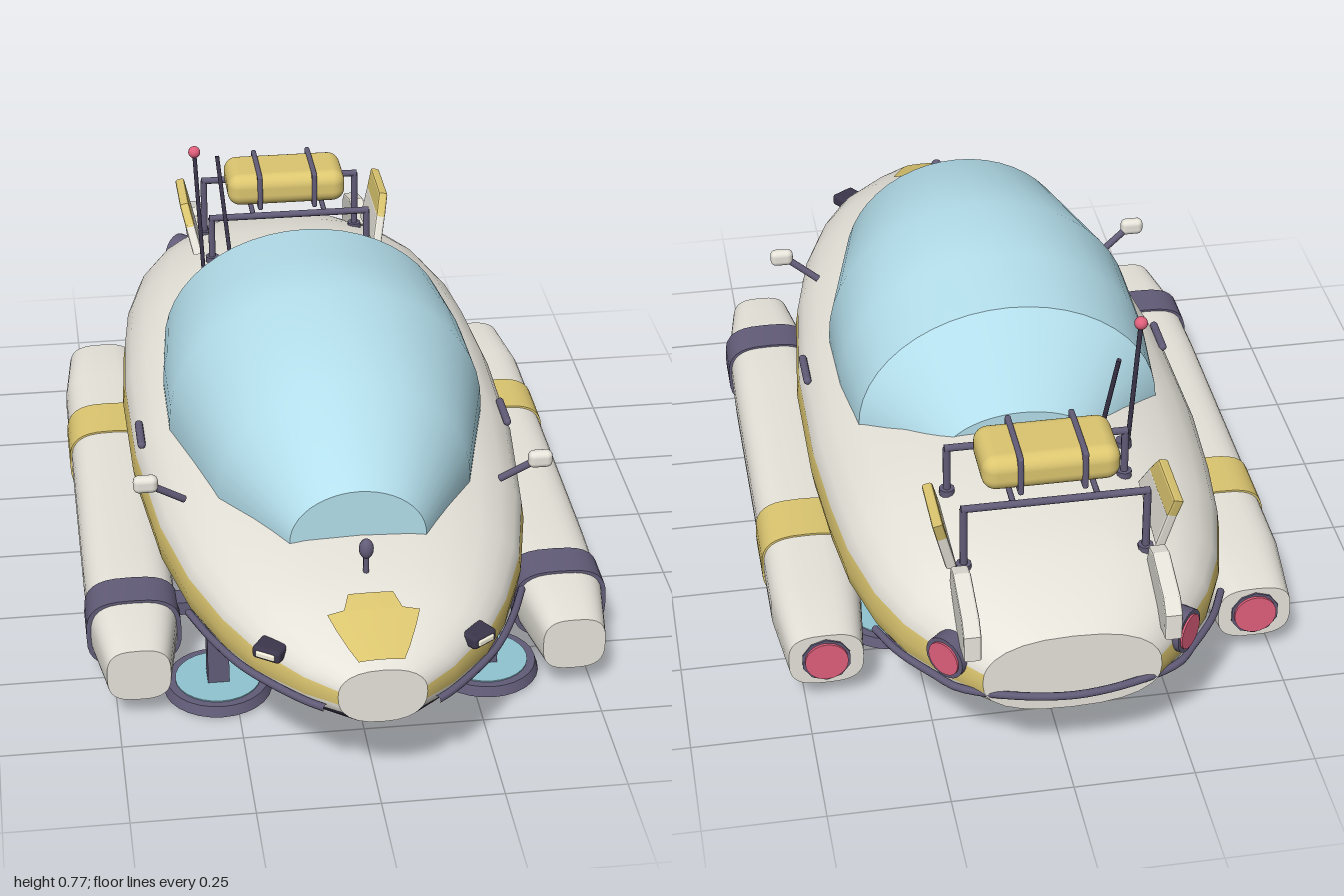
import * as THREE from 'three';
import { RoundedBoxGeometry } from 'three/addons/geometries/RoundedBoxGeometry.js';

const V = (x, y, z) => new THREE.Vector3(x, y, z);
const mat = (color, side = THREE.FrontSide) => new THREE.MeshStandardMaterial({ color, side });
const CREAM = mat(0xe6e3da), NAVY = mat(0x3c364c), TRIM = mat(0x625c78), YELLOW = mat(0xdcc670, THREE.DoubleSide);
const GLASS = mat(0xb4dfec, THREE.DoubleSide), RED = mat(0xe0607c), TEAL = mat(0x8fc4d2), LENS = mat(0xf4efdc);

// Hull stations: z, half width, bottom, top
const MID = 0.265, N = 2.4;
const STATIONS = [
  [1, 0.088, 0.2, 0.322], [0.95, 0.15, 0.185, 0.34], [0.85, 0.238, 0.165, 0.373], [0.75, 0.292, 0.148, 0.394],
  [0.6, 0.348, 0.13, 0.412], [0.4, 0.392, 0.115, 0.426], [0.1, 0.424, 0.11, 0.442], [-0.2, 0.427, 0.11, 0.456],
  [-0.4, 0.414, 0.115, 0.462], [-0.55, 0.397, 0.122, 0.456], [-0.7, 0.36, 0.135, 0.44], [-0.8, 0.315, 0.147, 0.42],
  [-0.9, 0.243, 0.165, 0.39], [-0.965, 0.18, 0.182, 0.362],
];
function station(z) {
  let i = 0;
  while (i < STATIONS.length - 2 && z < STATIONS[i + 1][0]) i++;
  const a = STATIONS[i], b = STATIONS[i + 1], t = (z - a[0]) / (b[0] - a[0]);
  return a.map((v, k) => v + (b[k] - v) * t);
}
const curve = (f) => Math.pow(Math.max(0, 1 - Math.pow(Math.min(1, Math.abs(f)), N)), 1 / N);
function hullY(x, z) { const [, w, , top] = station(z); return MID + (top - MID) * curve(x / w); }
function hullX(y, z) {
  const [, w, bot, top] = station(z);
  return w * curve((y - MID) / (y > MID ? top - MID : MID - bot));
}
const spow = (v, n) => Math.sign(v) * Math.pow(Math.abs(v), 2 / n);

// Skin over rings ordered front to back, each counter-clockwise seen from the front
function loft(rings, closed = true, keep = () => true) {
  const n = rings[0].length, index = [];
  for (let i = 0; i < rings.length - 1; i++)
    for (let j = 0; j < (closed ? n : n - 1); j++) {
      if (!keep(j)) continue;
      const k = (j + 1) % n, a = i * n + j, b = a + n, c = (i + 1) * n + k, d = i * n + k;
      index.push(a, b, d, b, c, d);
    }
  const g = new THREE.BufferGeometry().setFromPoints(rings.flat());
  g.setIndex(index);
  g.computeVertexNormals();
  return g;
}
function cap(ring, front) {
  const c = ring.reduce((s, p) => s.add(p), V(0, 0, 0)).divideScalar(ring.length);
  const index = [], n = ring.length;
  for (let j = 0; j < n; j++) index.push(0, ...(front ? [j + 1, (j + 1) % n + 1] : [(j + 1) % n + 1, j + 1]));
  const g = new THREE.BufferGeometry().setFromPoints([c, ...ring]);
  g.setIndex(index);
  g.computeVertexNormals();
  return g;
}

export function createModel() {
  const root = new THREE.Group();
  const add = (name, geo, material, parent = root, pos) => {
    const m = new THREE.Mesh(geo, material);
    m.name = name;
    if (pos) m.position.set(...pos);
    parent.add(m);
    return m;
  };
  const group = (name) => { const g = new THREE.Group(); g.name = name; root.add(g); return g; };
  const rod = (name, a, b, r, material = TRIM, parent = root) => {
    const d = b.clone().sub(a);
    const m = add(name, new THREE.CylinderGeometry(r, r, d.length(), 10), material, parent);
    m.position.copy(a).add(b).multiplyScalar(0.5);
    m.quaternion.setFromUnitVectors(V(0, 1, 0), d.normalize());
    return m;
  };
  const tube = (name, pts, r, parent = root) =>
    add(name, new THREE.TubeGeometry(new THREE.CatmullRomCurve3(pts), 40, r, 8), TRIM, parent);

  // Hull: one smooth skin split into coloured strips
  const hull = group('hull');
  const half = [-90, -75, -60, -45, -29, -20, -11.5, 0, 10.5, 20, 32, 45, 60, 75];
  const angles = [...half, ...half.map((a) => a + 180 - 2 * (a + 90) + 90 * 2).map((a, i) => 180 - (i ? half[half.length - i] : -90))];
  const rings = STATIONS.map(([z, w, bot, top]) => angles.map((deg) => {
    const a = THREE.MathUtils.degToRad(deg), s = Math.sin(a);
    return V(w * spow(Math.cos(a), N), MID + (s > 0 ? top - MID : MID - bot) * spow(s, N), z);
  }));
  // second half of the ring runs from the crown down the other side
  rings.forEach((ring) => {
    const crown = ring[0].clone(), st = station(ring[0].z), h = half.length;
    crown.set(0, st[3], st[0]);
    ring[h] = crown;
    for (let i = 1; i < h; i++) ring[h + i] = ring[h - i].clone().multiply(V(-1, 1, 1));
  });
  const skin = loft(rings), count = rings[0].length;
  const strip = (j) => {
    const k = Math.min(j, count - 1 - j);
    return k < 4 ? 'keel' : k >= 6 && k < 8 ? 'sideStripe' : 'hullShell';
  };
  for (const [name, m] of [['keel', NAVY], ['sideStripe', YELLOW], ['hullShell', CREAM]]) {
    const g = loft(rings, true, (j) => strip(j) === name);
    g.setAttribute('normal', skin.getAttribute('normal'));
    add(name, g, m, hull);
  }
  add('noseCap', cap(rings[0], true), CREAM, hull);
  add('sternCap', cap(rings[rings.length - 1], false), CREAM, hull);

  // Painted chevron on the nose
  const chevron = [[0.98, 0.045], [0.95, 0.06], [0.9, 0.08], [0.865, 0.092], [0.86, 0.058], [0.82, 0.045]];
  add('noseChevron', loft(chevron.map(([z, w]) =>
    [1, 0.6, 0.2, -0.2, -0.6, -1].map((f) => V(f * w, hullY(f * w, z) + 0.004, z))), false), YELLOW, hull);

  // Canopy: half-elliptic sections, creased at the rear panel
  const canopy = group('canopy');
  const domes = [[0.645, 0.14, 0.11], [0.44, 0.265, 0.245], [0.13, 0.343, 0.305], [-0.06, 0.342, 0.288],
    [-0.24, 0.325, 0.266], [-0.39, 0.17, 0.1]].map(([z, w, h]) => {
    const ring = [V(w, 0.365, z)];
    for (let i = 0; i <= 24; i++) ring.push(V(w * Math.cos(i * Math.PI / 24), 0.4 + h * Math.sin(i * Math.PI / 24), z));
    return [...ring, V(-w, 0.365, z)];
  });
  add('canopyDome', loft(domes.slice(0, 5), false), GLASS, canopy);
  add('canopyRearPanel', loft(domes.slice(4), false), GLASS, canopy);
  add('canopyFront', cap(domes[0], true), GLASS, canopy);
  add('canopyBack', cap(domes[5], false), GLASS, canopy);

  // Stern rail wraps round the tail
  const sternSide = [-0.72, -0.8, -0.88, -0.935].map((z) => V(hullX(0.235, z) + 0.014, 0.235, z));
  tube('sternRail', [...sternSide, V(0, 0.235, -0.992), ...sternSide.map((p) => V(-p.x, p.y, p.z)).reverse()], 0.008);

  const podRing = (z, w, h, cx) => Array.from({ length: 32 }, (_, i) => {
    const a = i * Math.PI / 16;
    return V(cx + w * spow(Math.cos(a), 3), 0.115 + h * spow(Math.sin(a), 3), z);
  });
  const plate = (pts, depth) => {
    const g = new THREE.ExtrudeGeometry(new THREE.Shape(pts.map(([z, y]) => new THREE.Vector2(z, y))),
      { depth, bevelEnabled: true, bevelSize: 0.005, bevelThickness: 0.005, bevelSegments: 2 });
    return g.translate(0, 0, -depth / 2).rotateY(-Math.PI / 2);
  };

  for (const s of [1, -1]) {
    const side = s > 0 ? 'left' : 'right';
    // Pontoon with bands and a rear lamp
    const pod = group(side + 'Pontoon');
    const body = [[0.665, 0.066, 0.06], [0.5, 0.092, 0.076], [0.3, 0.096, 0.077], [-0.48, 0.096, 0.077], [-0.655, 0.078, 0.062]]
      .map(([z, w, h]) => podRing(z, w, h, 0.455 * s));
    add('pontoonBody', loft(body), CREAM, pod);
    add('pontoonFront', cap(body[0], true), CREAM, pod);
    add('pontoonBack', cap(body[4], false), CREAM, pod);
    for (const [name, z0, z1, m] of [['frontBand', 0.51, 0.42, TRIM], ['rearBand', -0.2, -0.33, YELLOW]]) {
      const ends = [z0, z1].map((z) => podRing(z, 0.1, 0.081, 0.455 * s));
      add(name, loft(ends), m, pod);
      add(name + 'Front', cap(ends[0], true), m, pod);
      add(name + 'Back', cap(ends[1], false), m, pod);
    }
    rod('lampRim', V(0.455 * s, 0.115, -0.65), V(0.455 * s, 0.115, -0.659), 0.052, TRIM, pod);
    add('pontoonLamp', new THREE.CylinderGeometry(0.045, 0.045, 0.02, 24).rotateX(Math.PI / 2), RED, pod, [0.455 * s, 0.115, -0.655]);

    // Landing legs and pontoon struts
    for (const z of [0.565, -0.4]) {
      const leg = group(side + (z > 0 ? 'FrontLeg' : 'RearLeg'));
      add('legPost', new THREE.BoxGeometry(0.045, 0.17, 0.045), TRIM, leg, [0.285 * s, 0.1, z]);
      add('footPad', new THREE.CylinderGeometry(0.107, 0.114, 0.022, 28), TRIM, leg, [0.285 * s, 0.015, z]);
      add('footSole', new THREE.CylinderGeometry(0.095, 0.092, 0.006, 28), TEAL, leg, [0.285 * s, 0.003, z]);
      add('footTop', new THREE.CylinderGeometry(0.09, 0.09, 0.003, 28), TEAL, leg, [0.285 * s, 0.027, z]);
      add('pontoonStrut', new THREE.BoxGeometry(0.2, 0.03, 0.05), TRIM, leg, [0.32 * s, 0.145, z * 0.8]);
    }

    // Bow rail and side grip
    tube(side + 'BowRail', [0.62, 0.72, 0.82, 0.9, 0.96, 0.985].map((z) => V(s * (hullX(0.232, z) + 0.012), 0.232, z)), 0.008);
    add(side + 'Grip', new THREE.CapsuleGeometry(0.009, 0.09, 4, 10).rotateX(Math.PI / 2), TRIM, root, [s * (hullX(0.345, 0.08) + 0.008), 0.345, 0.08]);

    // Headlight
    const head = group(side + 'Headlight');
    add('headlightFrame', new RoundedBoxGeometry(0.062, 0.028, 0.05, 2, 0.008), NAVY, head);
    add('headlightLens', new RoundedBoxGeometry(0.042, 0.014, 0.01, 2, 0.004), LENS, head, [0, 0, 0.024]);
    head.position.set(0.205 * s, 0.307, 0.882);
    head.rotation.y = 0.6 * s;

    // Mirror on an arm
    const mirror = group(side + 'Mirror');
    rod('mirrorArm', V(0.335 * s, 0.375, 0.41), V(0.405 * s, 0.425, 0.43), 0.008, TRIM, mirror);
    add('mirrorHead', new RoundedBoxGeometry(0.052, 0.038, 0.028, 3, 0.013), CREAM, mirror, [0.416 * s, 0.43, 0.43]);

    // Tail lamp
    const lamp = group(side + 'TailLamp');
    add('tailLampRim', new THREE.CylinderGeometry(0.046, 0.046, 0.04, 24).rotateX(Math.PI / 2), TRIM, lamp);
    add('tailLampLens', new THREE.CylinderGeometry(0.037, 0.037, 0.01, 24).rotateX(Math.PI / 2), RED, lamp, [0, 0, 0.019]);
    lamp.position.set(0.232 * s, 0.295, -0.895);
    lamp.rotation.y = s * (Math.PI - 0.85);

    // Tail fin with painted tip, and stern fairing
    const fin = group(side + 'Fin');
    add('finBase', plate([[-0.6, 0.41], [-0.635, 0.465], [-0.79, 0.465], [-0.78, 0.39]], 0.012), CREAM, fin);
    add('finTip', plate([[-0.635, 0.468], [-0.665, 0.507], [-0.8, 0.507], [-0.79, 0.468]], 0.012), YELLOW, fin);
    fin.position.set(s * 0.12, 0.045, 0);
    fin.rotation.z = -0.24 * s;
    add(side + 'SternFairing', plate([[-0.8, 0.4], [-0.81, 0.435], [-0.84, 0.442], [-0.94, 0.41], [-0.963, 0.385], [-0.965, 0.335], [-0.9, 0.33]], 0.026),
      CREAM, root, [0.2 * s, 0, 0]);
  }

  // Luggage rack and strapped roll
  const rack = group('luggageRack');
  const zs = [-0.56, -0.77];
  for (const z of zs) {
    rod('rackCrossBar', V(-0.19, 0.55, z), V(0.19, 0.55, z), 0.008, TRIM, rack);
    for (const x of [-0.185, 0.185]) {
      rod('rackPost', V(x, hullY(x, z) - 0.01, z), V(x, 0.55, z), 0.008, TRIM, rack);
      rod('rackFoot', V(x, hullY(x, z) - 0.01, z), V(x, hullY(x, z) + 0.01, z), 0.016, TRIM, rack);
    }
  }
  for (const x of [-0.085, 0.085]) rod('rackSlat', V(x, 0.55, zs[0]), V(x, 0.55, zs[1]), 0.006, TRIM, rack);
  add('luggageRoll', new RoundedBoxGeometry(0.28, 0.078, 0.15, 4, 0.03), YELLOW, rack, [0, 0.594, -0.667]);
  for (const x of [-0.065, 0.065]) add('luggageStrap', new RoundedBoxGeometry(0.012, 0.088, 0.16, 4, 0.005), TRIM, rack, [x, 0.594, -0.667]);

  // Aerials and bow marker
  const aerials = group('aerials');
  rod('aerialBase', V(-0.205, 0.42, -0.46), V(-0.205, 0.455, -0.46), 0.017, TRIM, aerials);
  rod('tallAerial', V(-0.213, 0.44, -0.462), V(-0.228, 0.755, -0.485), 0.005, NAVY, aerials);
  add('aerialBall', new THREE.SphereGeometry(0.014, 16, 12), RED, aerials, [-0.228, 0.758, -0.485]);
  rod('shortAerial', V(-0.145, 0.44, -0.468), V(-0.17, 0.716, -0.548), 0.005, NAVY, aerials);
  rod('bowMarkerStem', V(0, 0.38, 0.757), V(0, 0.44, 0.757), 0.006);
  add('bowMarkerHead', new THREE.SphereGeometry(0.015, 16, 12).scale(1, 1.45, 1), TRIM, root, [0, 0.446, 0.757]);
  return root;
}
